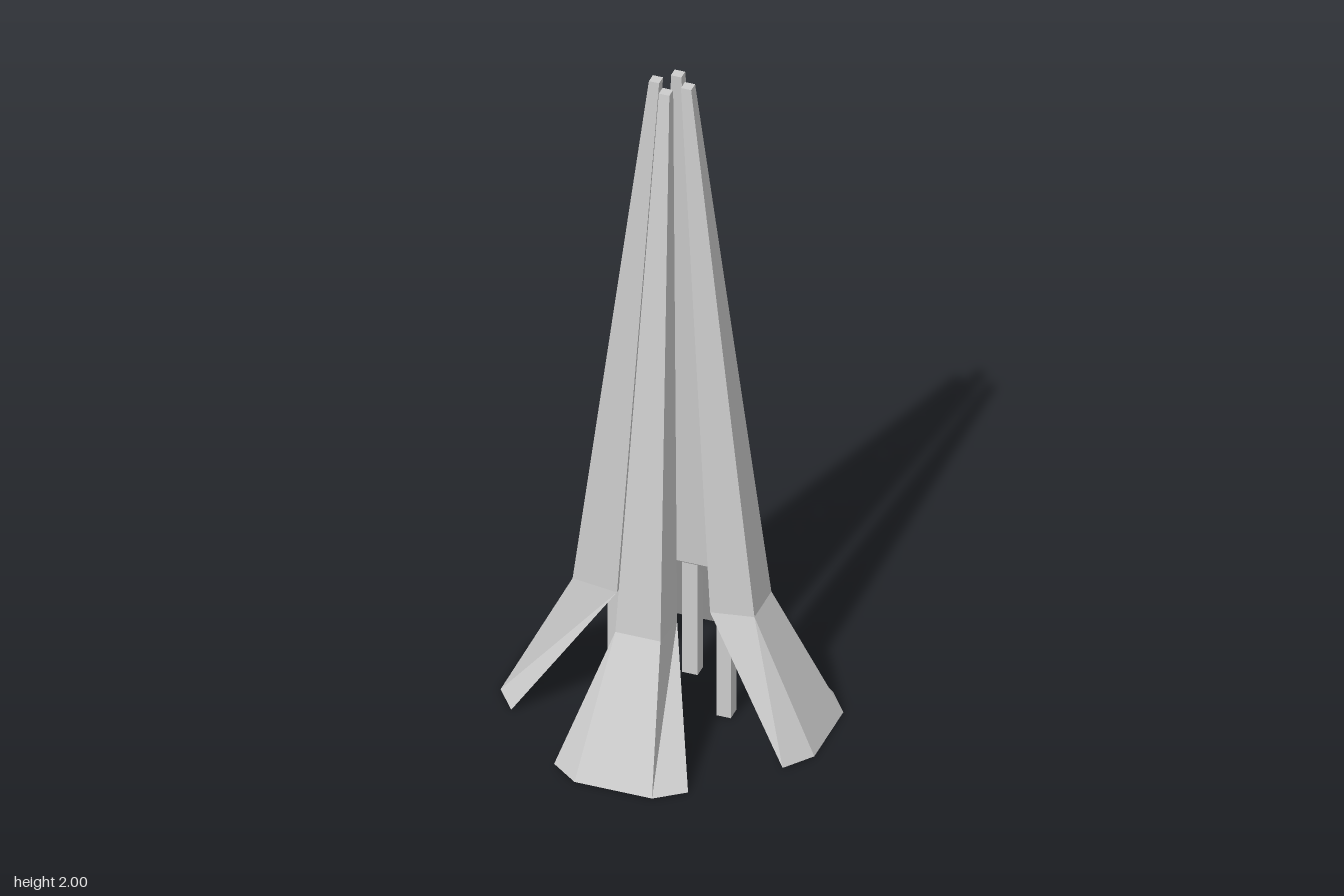
import * as THREE from 'three';

const material = new THREE.MeshStandardMaterial({ color: 0xcccccc, flatShading: true });

// Cross-sections from bottom to top: [y, distance from axis, half width] for inner and outer edge
const SECTIONS = [
  { inner: [0, 0.385, 0.19], outer: [0, 0.445, 0.11] },
  { inner: [0.36, 0.132, 0.064], outer: [0.375, 0.258, 0.064] },
  { inner: [2, 0.031, 0.015], outer: [2, 0.06, 0.015] },
];

// Closed four-sided loft through the sections, facing +z
function legGeometry() {
  const positions = [];
  const index = [];
  for (const { inner, outer } of SECTIONS) {
    const [yi, zi, wi] = inner;
    const [yo, zo, wo] = outer;
    positions.push(-wo, yo, zo, wo, yo, zo, wi, yi, zi, -wi, yi, zi);
  }
  for (let s = 0; s < SECTIONS.length - 1; s++) {
    for (let i = 0; i < 4; i++) {
      const a = s * 4 + i;
      const b = s * 4 + (i + 1) % 4;
      index.push(a, b, b + 4, a, b + 4, a + 4);
    }
  }
  const t = (SECTIONS.length - 1) * 4;
  index.push(0, 2, 1, 0, 3, 2, t, t + 1, t + 2, t, t + 2, t + 3);
  const indexed = new THREE.BufferGeometry();
  indexed.setAttribute('position', new THREE.Float32BufferAttribute(positions, 3));
  indexed.setIndex(index);
  const geometry = indexed.toNonIndexed();
  geometry.computeVertexNormals();
  return geometry;
}

export function createModel() {
  const model = new THREE.Group();
  model.name = 'fourLeggedSpire';
  const legGeo = legGeometry();
  const postGeo = new THREE.BoxGeometry(0.044, 0.39, 0.04);

  // Four identical legs around the axis, each with a small upright post beneath its bend
  for (let i = 0; i < 4; i++) {
    const quarter = new THREE.Group();
    quarter.name = 'legAssembly' + (i + 1);
    const leg = new THREE.Mesh(legGeo, material);
    leg.name = 'flaredLeg';
    const post = new THREE.Mesh(postGeo, material);
    post.name = 'supportPost';
    post.position.set(0, 0.195, 0.155);
    quarter.add(leg, post);
    quarter.rotation.y = i * Math.PI / 2;
    model.add(quarter);
  }
  return model;
}
